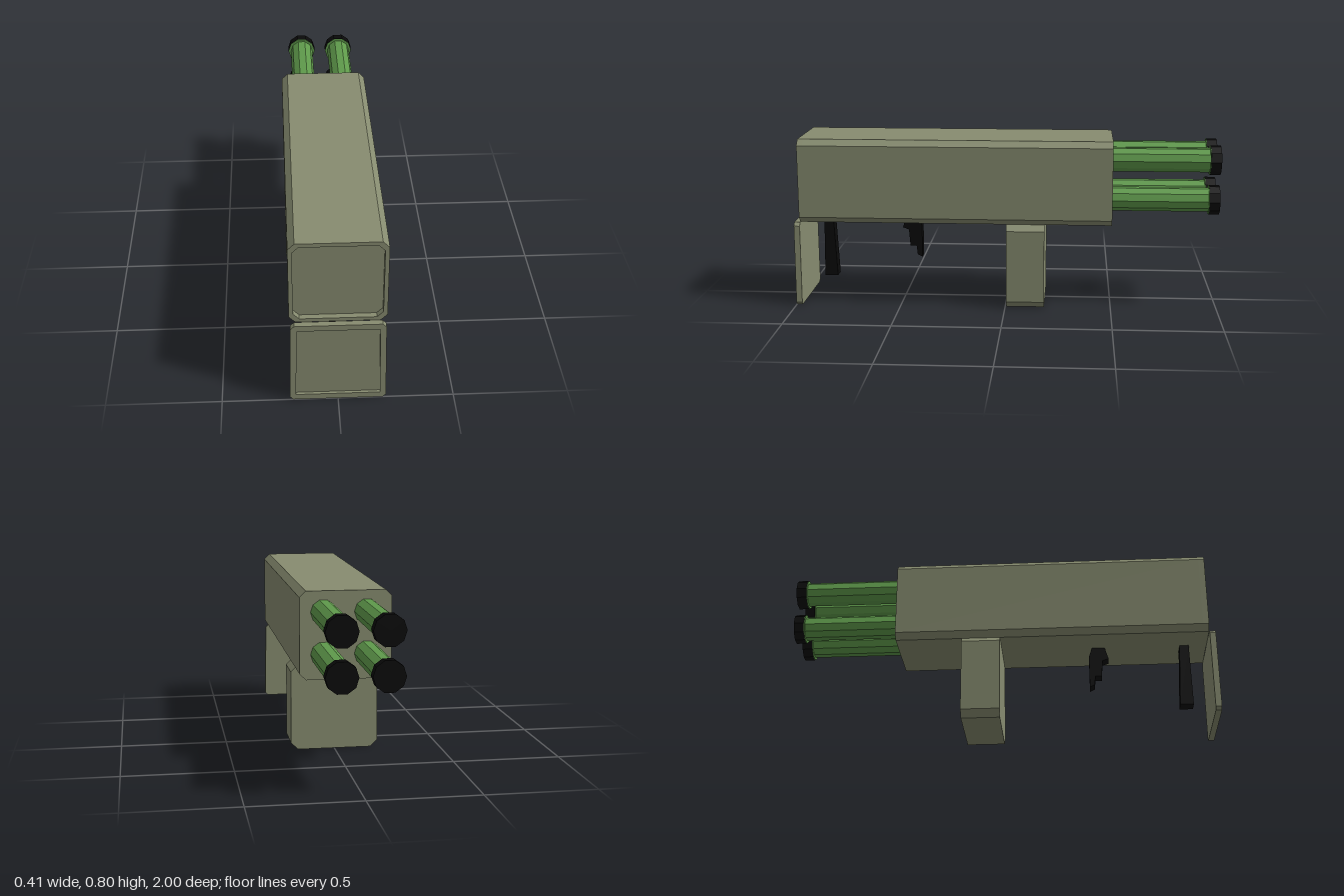
import * as THREE from 'three';

const material = (color) => new THREE.MeshStandardMaterial({ color, flatShading: true });
const olive = material(0x878c70);
const green = material(0x5f9a4b);
const black = material(0x0a0a0a);

// Eight-cornered outline; the top and bottom may differ in half width and chamfer
function outline(path, y0, y1, wBottom, wTop, cBottom, cTop) {
  const right = [
    [wBottom - cBottom, y0], [wBottom, y0 + cBottom],
    [wTop, y1 - cTop], [wTop - cTop, y1],
  ];
  const left = right.map(([x, y]) => [-x, y]).reverse();
  path.setFromPoints([...right, ...left].map(([x, y]) => new THREE.Vector2(x, y)));
  return path;
}

function extrude(shape, z0, z1) {
  const geometry = new THREE.ExtrudeGeometry(shape, { depth: z1 - z0, bevelEnabled: false });
  return geometry.translate(0, 0, z0);
}

// Extrudes a side profile of [z, y] points to a centred width
function sideProfile(points, width) {
  const shape = new THREE.Shape(points.map(([z, y]) => new THREE.Vector2(-z, y)));
  return extrude(shape, -width / 2, width / 2).rotateY(Math.PI / 2);
}

// Ten-sided cylinder lying along z
function rod(radius, x, y, z0, z1) {
  return new THREE.CylinderGeometry(radius, radius, z1 - z0, 10)
    .rotateY(Math.PI / 2).rotateX(Math.PI / 2)
    .translate(x, y, (z0 + z1) / 2);
}

export function createModel() {
  const model = new THREE.Group();
  model.name = 'rocketLauncher';
  const add = (name, geometry, mat) => {
    const mesh = new THREE.Mesh(geometry, mat);
    mesh.name = name;
    model.add(mesh);
  };

  // Long housing with a shallow recess at the front
  const housing = () => outline(new THREE.Shape(), 0.403, 0.8, 0.206, 0.206, 0.028, 0.028);
  add('housing', extrude(housing(), -0.5, 0.945), olive);
  const rim = housing();
  rim.holes.push(outline(new THREE.Path(), 0.42, 0.782, 0.188, 0.188, 0.026, 0.026));
  add('housingRim', extrude(rim, 0.945, 0.972), olive);

  // Hinged front cover hanging open, slightly wider at the bottom
  const cover = () => outline(new THREE.Shape(), 0, 0.402, 0.207, 0.201, 0.014, 0.016);
  add('frontCover', extrude(cover(), 0.972, 0.986), olive);
  const coverRim = cover();
  coverRim.holes.push(new THREE.Path([
    [-0.181, 0.027], [0.181, 0.027], [0.175, 0.375], [-0.175, 0.375],
  ].map(([x, y]) => new THREE.Vector2(x, y))));
  add('frontCoverRim', extrude(coverRim, 0.986, 1), olive);

  // Shoulder block under the housing
  const block = outline(new THREE.Shape(), 0, 0.403, 0.206, 0.206, 0.032, 0.028);
  add('shoulderBlock', extrude(block, -0.185, -0.005), olive);

  // Grip and trigger
  add('frontGrip', sideProfile([
    [0.888, 0.405], [0.893, 0.1], [0.83, 0.1], [0.845, 0.405],
  ], 0.065), black);
  add('trigger', sideProfile([
    [0.487, 0.405], [0.505, 0.346], [0.476, 0.336], [0.47, 0.256], [0.44, 0.256],
    [0.435, 0.212], [0.412, 0.2], [0.412, 0.357], [0.428, 0.405],
  ], 0.06), black);

  // Four tubes with a flange and an end cap each
  for (const x of [-0.095, 0.1]) {
    for (const y of [0.517, 0.705]) {
      add('tube', rod(0.057, x, y, -0.952, -0.49), green);
      add('tubeFlange', rod(0.069, x, y, -0.952, -0.949), green);
      add('tubeEndCap', rod(0.07, x, y, -1, -0.952), black);
    }
  }
  return model;
}
